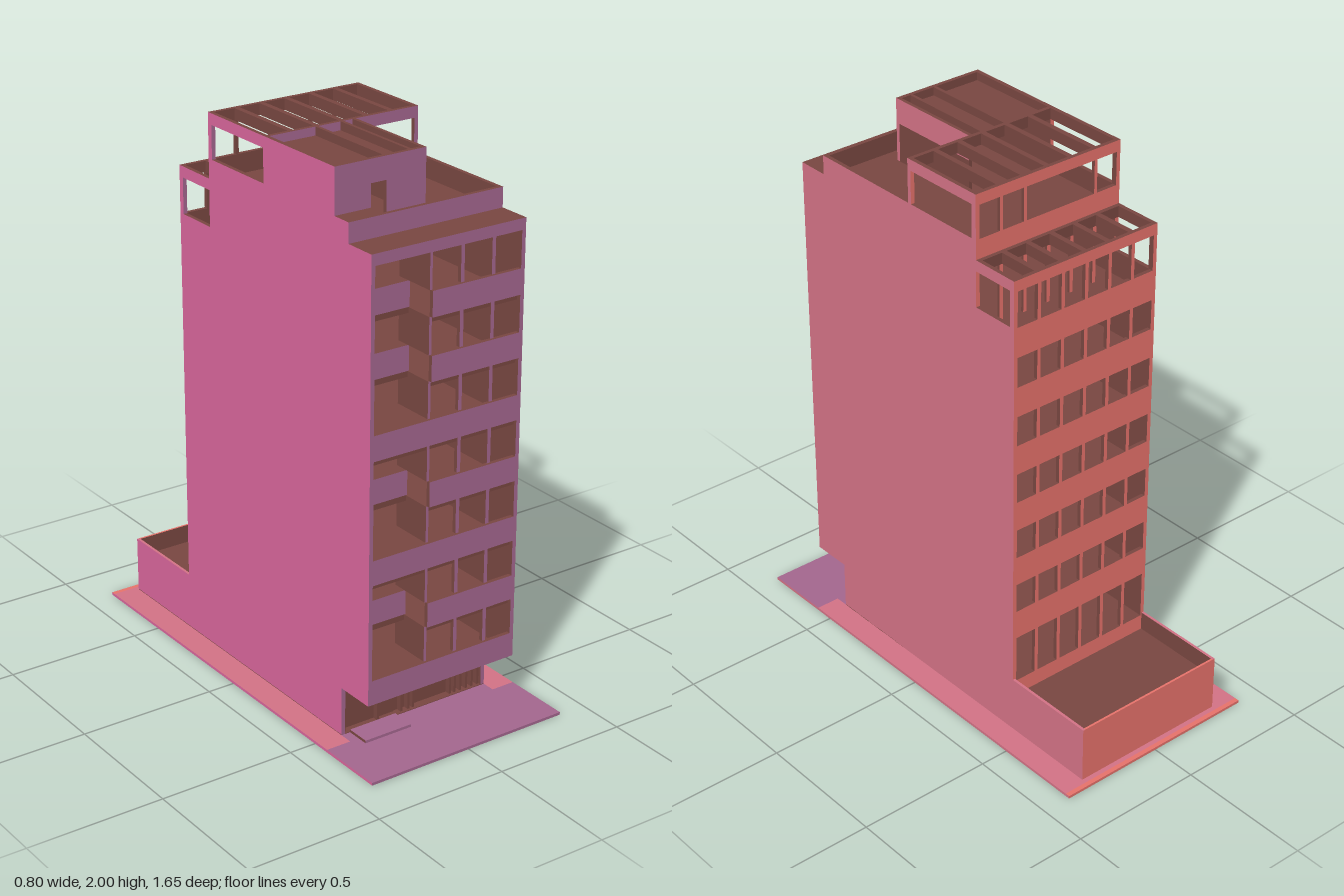
import * as THREE from 'three';

export function createModel() {
  const model = new THREE.Group();
  const mat = (name, color) => {
    const m = new THREE.MeshStandardMaterial({ color });
    m.name = name;
    return m;
  };
  const purple = mat('front purple', 0xa2658d);
  const pink = mat('left side pink', 0xd17184);
  const magenta = mat('right side magenta', 0xd6659a);
  const orange = mat('back orange', 0xe5716a);
  const brown = mat('inner brown', 0x774640);

  // Box from extents; letters in "paint" choose the painted faces:
  // r = +x, l = -x, f = front, b = back, and for top and bottom
  // t = pink, p = purple, o = orange
  function box(name, x0, x1, y0, y1, z0, z1, paint = '', parent = model) {
    const has = (c) => paint.includes(c);
    const level = has('t') ? pink : has('p') ? purple : has('o') ? orange : brown;
    const mats = [
      has('r') ? pink : brown,
      has('l') ? magenta : brown,
      level,
      level,
      has('f') ? purple : brown,
      has('b') ? orange : brown,
    ];
    const mesh = new THREE.Mesh(new THREE.BoxGeometry(x1 - x0, y1 - y0, z1 - z0), mats);
    mesh.position.set((x0 + x1) / 2, (y0 + y1) / 2, (z0 + z1) / 2);
    mesh.name = name;
    parent.add(mesh);
    return mesh;
  }
  function group(name) {
    const g = new THREE.Group();
    g.name = name;
    model.add(g);
    return g;
  }

  // Ground: pavement ring around the floor plate, entrance step
  const ground = group('ground');
  box('leftPavement', 0.305, 0.395, 0, 0.01, -0.808, 0.57, 'rt', ground);
  box('rightPavement', -0.4, -0.305, 0, 0.01, -0.808, 0.57, 'lt', ground);
  box('backPavement', -0.305, 0.305, 0, 0.01, -0.808, -0.79, 't', ground);
  box('backKerb', -0.4, 0.395, 0, 0.01, -0.825, -0.808, 'rlbo', ground);
  box('frontPavement', -0.4, 0.395, 0, 0.01, 0.57, 0.825, 'rlfp', ground);
  box('groundFloor', -0.305, 0.305, 0, 0.012, -0.79, 0.52, '', ground);
  box('porchPavement', -0.305, 0.305, 0, 0.01, 0.52, 0.57, 'p', ground);
  box('entranceStep', -0.27, -0.08, 0.01, 0.02, 0.52, 0.61, 'fp', ground);

  // Side walls as rectangles [y0, y1, z0, z1], mirrored on both sides
  const wallParts = [
    [0.01, 0.19, -0.43, 0.52],
    [0.19, 1.6, -0.43, 0.67],
    [1.6, 1.77, -0.245, 0.67],
    [1.6, 1.77, -0.43, -0.41],
    [1.73, 1.77, -0.41, -0.245],
    [1.77, 1.84, -0.245, 0.55],
    [1.84, 2, -0.245, -0.225],
    [1.96, 2, -0.225, 0.08],
    [1.84, 2, 0.08, 0.095],
  ];
  const walls = group('sideWalls');
  for (const p of wallParts) {
    box('leftWall', 0.29, 0.305, ...p, 'rfb', walls);
    box('rightWall', -0.305, -0.29, ...p, 'lfb', walls);
  }

  // Low rear block with parapet
  const rear = group('rearYard');
  box('yardLeftWall', 0.295, 0.305, 0.01, 0.22, -0.79, -0.43, 'rbt', rear);
  box('yardRightWall', -0.305, -0.295, 0.01, 0.22, -0.79, -0.43, 'lbt', rear);
  box('yardRearWall', -0.295, 0.295, 0.01, 0.22, -0.79, -0.782, 'bo', rear);
  box('yardFloor', -0.295, 0.295, 0.14, 0.15, -0.782, -0.43, '', rear);
  box('yardInnerWall', -0.29, 0.29, 0.01, 0.19, -0.43, -0.42, 'b', rear);

  // Recessed ground floor with door and slats
  const entrance = group('entrance');
  box('entranceWall', -0.29, 0.29, 0.012, 0.19, 0.48, 0.49, '', entrance);
  box('door', -0.14, -0.07, 0.015, 0.18, 0.49, 0.498, '', entrance);
  for (const x of [-0.29, -0.15, -0.05, -0.02, 0.0, 0.16, 0.18, 0.205, 0.23, 0.255, 0.28])
    box('slat', x, x + 0.008, 0.012, 0.19, 0.49, 0.51, '', entrance);

  // Seven storeys: slabs, parapets, columns and deep balconies
  const mullions = [-0.2, -0.1, 0, 0.1, 0.2];
  for (let i = 0; i < 7; i++) {
    const y = 0.19 + 0.22 * i;
    const sill = y + 0.09;
    const head = y + 0.22;
    const low = i === 0 ? y : y - 0.02;
    const flush = i % 2 === 0 && i < 6;
    const floor = group('storey' + (i + 1));

    box('slab', -0.29, 0.29, low, low + 0.02, -0.42, 0.55, '', floor);
    box('frontSlab', flush ? -0.29 : -0.065, 0.29, low, low + 0.02, 0.55, 0.655, '', floor);

    // front parapet; the right bay is set back on alternate storeys
    box('frontParapet', -0.065, 0.29, y, sill, 0.655, 0.67, 'f', floor);
    const z = flush ? 0.67 : 0.55;
    box('balconyParapet', -0.29, -0.065, y, sill, z - 0.015, z, 'f', floor);
    box('balconyPartition', -0.07, -0.06, sill, head, 0.5, 0.66, 'f', floor);
    for (const x of [0.06, 0.185])
      box('frontColumn', x - 0.007, x + 0.007, sill, head, 0.645, 0.66, 'f', floor);
    box('balconyMullion', -0.186, -0.178, sill, head, 0.47, 0.48, 'f', floor);

    // back parapet and mullions; the first storey opens onto the yard roof
    const backSill = i === 0 ? low + 0.02 : sill;
    box('backParapet', -0.29, 0.29, low, backSill, -0.43, -0.415, 'b', floor);
    if (i < 6)
      for (const x of mullions)
        box('backMullion', x - 0.007, x + 0.007, backSill, head - 0.02, -0.43, -0.415, 'b', floor);
  }

  // Roof slab, front cornice and stepped parapet
  const roof = group('roof');
  box('roofSlab', -0.29, 0.29, 1.74, 1.77, -0.245, 0.655, 'b', roof);
  box('frontCornice', -0.29, 0.29, 1.73, 1.77, 0.655, 0.67, 'f', roof);
  box('terraceFrontParapet', -0.29, 0.29, 1.77, 1.84, 0.535, 0.55, 'f', roof);
  box('terraceBackParapet', -0.29, 0.29, 1.77, 1.84, -0.245, -0.23, 'b', roof);
  for (const x of mullions) {
    box('topStoreyMullion', x - 0.007, x + 0.007, 1.51, 1.74, -0.245, -0.235, 'b', roof);
    box('rearTerraceColumn', x - 0.007, x + 0.007, 1.6, 1.73, -0.43, -0.415, 'b', roof);
  }

  // Pergola: a front and a back beam joined by cross beams
  function pergola(name, y0, y1, z0, z1) {
    const g = group(name);
    box('backBeam', -0.29, 0.29, y0, y1, z0, z0 + 0.015, 'b', g);
    box('frontBeam', -0.29, 0.29, y0, y1, z1 - 0.015, z1, 'f', g);
    for (const x of mullions)
      box('crossBeam', x - 0.01, x + 0.01, y0, y1, z0 + 0.015, z1 - 0.015, '', g);
    return g;
  }
  pergola('rearPergola', 1.73, 1.77, -0.43, -0.245);
  const top = pergola('roofPergola', 1.96, 2, -0.245, 0.095);
  for (const x of mullions)
    if (x > 0.05 || x < -0.18)
      box('pergolaColumn', x - 0.006, x + 0.006, 1.84, 1.96, -0.245, -0.232, 'b', top);

  // Roof room with a doorway through its front
  const room = group('roofRoom');
  box('frontWallRight', -0.305, -0.165, 1.84, 2, 0.46, 0.475, 'fl', room);
  box('frontWallLeft', -0.105, 0.05, 1.77, 2, 0.46, 0.475, 'fr', room);
  box('doorLintel', -0.165, -0.105, 1.92, 2, 0.46, 0.475, 'f', room);
  box('rightWall', -0.305, -0.29, 1.84, 2, 0.095, 0.46, 'l', room);
  box('leftWall', 0.037, 0.05, 1.77, 1.91, 0.095, 0.46, '', room);
  box('leftWallTop', 0.037, 0.05, 1.91, 2, 0.095, 0.46, 'r', room);
  box('ceiling', -0.29, 0.037, 1.955, 1.97, 0.095, 0.46, '', room);
  for (const x of [-0.105, -0.005])
    box('roofRib', x - 0.006, x + 0.006, 1.97, 2, 0.095, 0.46, '', room);

  return model;
}
